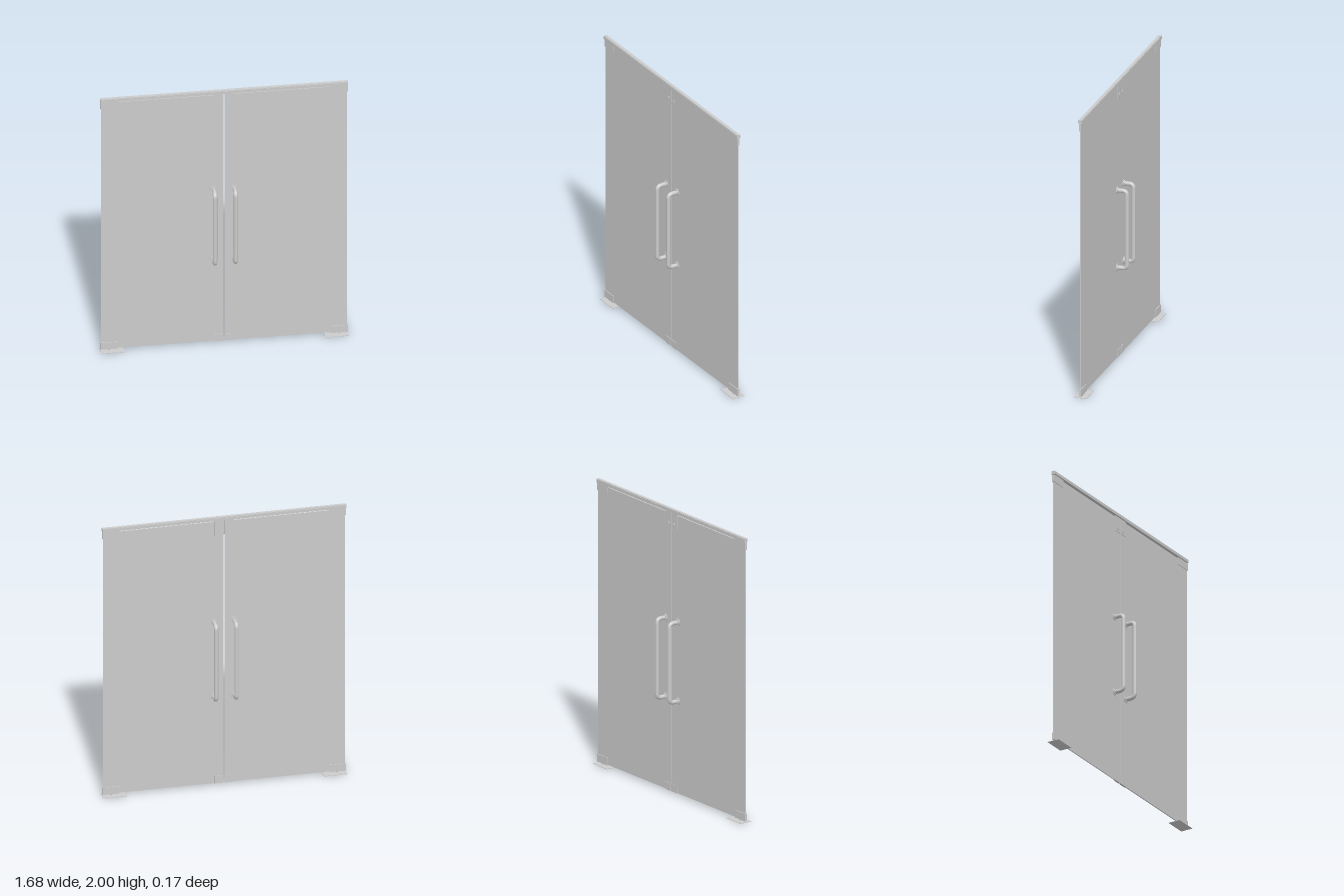
import * as THREE from 'three';

const material = new THREE.MeshStandardMaterial({ color: 0xcccccc });

function add(parent, name, geometry, x = 0, y = 0, z = 0) {
  const mesh = new THREE.Mesh(geometry, material);
  mesh.name = name;
  mesh.position.set(x, y, z);
  parent.add(mesh);
  return mesh;
}

// Box given by its x and y limits, centred on z
function slab(parent, name, x0, x1, y0, y1, depth) {
  const geometry = new THREE.BoxGeometry(Math.abs(x1 - x0), y1 - y0, depth);
  return add(parent, name, geometry, (x0 + x1) / 2, (y0 + y1) / 2, 0);
}

// Disc or pin whose axis runs through the glass
function stud(parent, name, x, y, radius, depth, sides = 24) {
  const geometry = new THREE.CylinderGeometry(radius, radius, depth, sides).rotateX(Math.PI / 2);
  return add(parent, name, geometry, x, y, 0);
}

// Closed pull loop passing through the door: a rounded rectangle in the yz plane
function pullLoop() {
  const h = 0.278, d = 0.073, r = 0.03;
  const path = new THREE.CurvePath();
  const p = (y, z) => new THREE.Vector3(0, y, z);
  const corners = [[1, 1], [1, -1], [-1, -1], [-1, 1]];
  corners.forEach(([sy, sz], i) => {
    const along = p(sy * h, sz * (d - r));
    const upright = p(sy * (h - r), sz * d);
    const [start, end] = i % 2 === 0 ? [upright, along] : [along, upright];
    path.add(new THREE.QuadraticBezierCurve3(start, p(sy * h, sz * d), end));
    const [ny, nz] = corners[(i + 1) % 4];
    const next = i % 2 === 0 ? p(ny * h, nz * (d - r)) : p(ny * (h - r), nz * d);
    path.add(new THREE.LineCurve3(end, next));
  });
  return new THREE.TubeGeometry(path, 200, 0.0145, 16, true);
}

function doorLeaf(side) {
  const leaf = new THREE.Group();
  leaf.name = side > 0 ? 'leftDoor' : 'rightDoor';
  const s = (x) => side * x;

  slab(leaf, 'glassPanel', s(0.003), s(0.833), 0.014, 1.966, 0.007);

  // Corner patch fittings on the pivot side
  slab(leaf, 'topPivotPatch', s(0.722), s(0.839), 1.92, 1.973, 0.016);
  slab(leaf, 'bottomPivotPatch', s(0.722), s(0.839), 0.01, 0.064, 0.016);
  for (const y of [0.006, 1.974]) {
    add(leaf, 'pivotPin', new THREE.CylinderGeometry(0.007, 0.007, 0.012, 16), s(0.78), y, 0);
  }

  // Lock patches at the meeting edge
  slab(leaf, 'topLockPatch', s(0.003), s(0.065), 1.864, 1.973, 0.014);
  slab(leaf, 'bottomLockPatch', s(0.006), s(0.065), 0.012, 0.066, 0.014);
  stud(leaf, 'lockCylinder', s(0.03), 1.892, 0.013, 0.021);

  // Pull handle with flanged rosettes
  const handle = new THREE.Group();
  handle.name = 'pullHandle';
  handle.position.set(s(0.07), 0.94, 0);
  add(handle, 'pullLoop', pullLoop());
  for (const y of [-0.278, 0.278]) {
    stud(handle, 'rosette', 0, y, 0.028, 0.014, 32);
    stud(handle, 'rosetteCollar', 0, y, 0.021, 0.026, 32);
  }
  leaf.add(handle);

  // Floor plate with screw heads
  const plate = new THREE.Group();
  plate.name = 'floorPlate';
  plate.position.x = s(0.76);
  add(plate, 'plate', new THREE.BoxGeometry(0.16, 0.003, 0.088), 0, 0.0015, 0);
  for (const x of [-0.06, 0, 0.06]) {
    for (const z of [-0.036, 0.036]) {
      add(plate, 'screw', new THREE.CylinderGeometry(0.004, 0.004, 0.001, 12), x, 0.0032, z);
    }
  }
  leaf.add(plate);
  return leaf;
}

export function createModel() {
  const model = new THREE.Group();
  model.name = 'doubleGlassDoor';

  // Header rail with a narrower raised cap
  slab(model, 'headerRail', -0.84, 0.84, 1.976, 1.996, 0.028);
  slab(model, 'headerCap', -0.84, 0.84, 1.996, 2, 0.022);

  for (const side of [-1, 1]) model.add(doorLeaf(side));
  return model;
}
